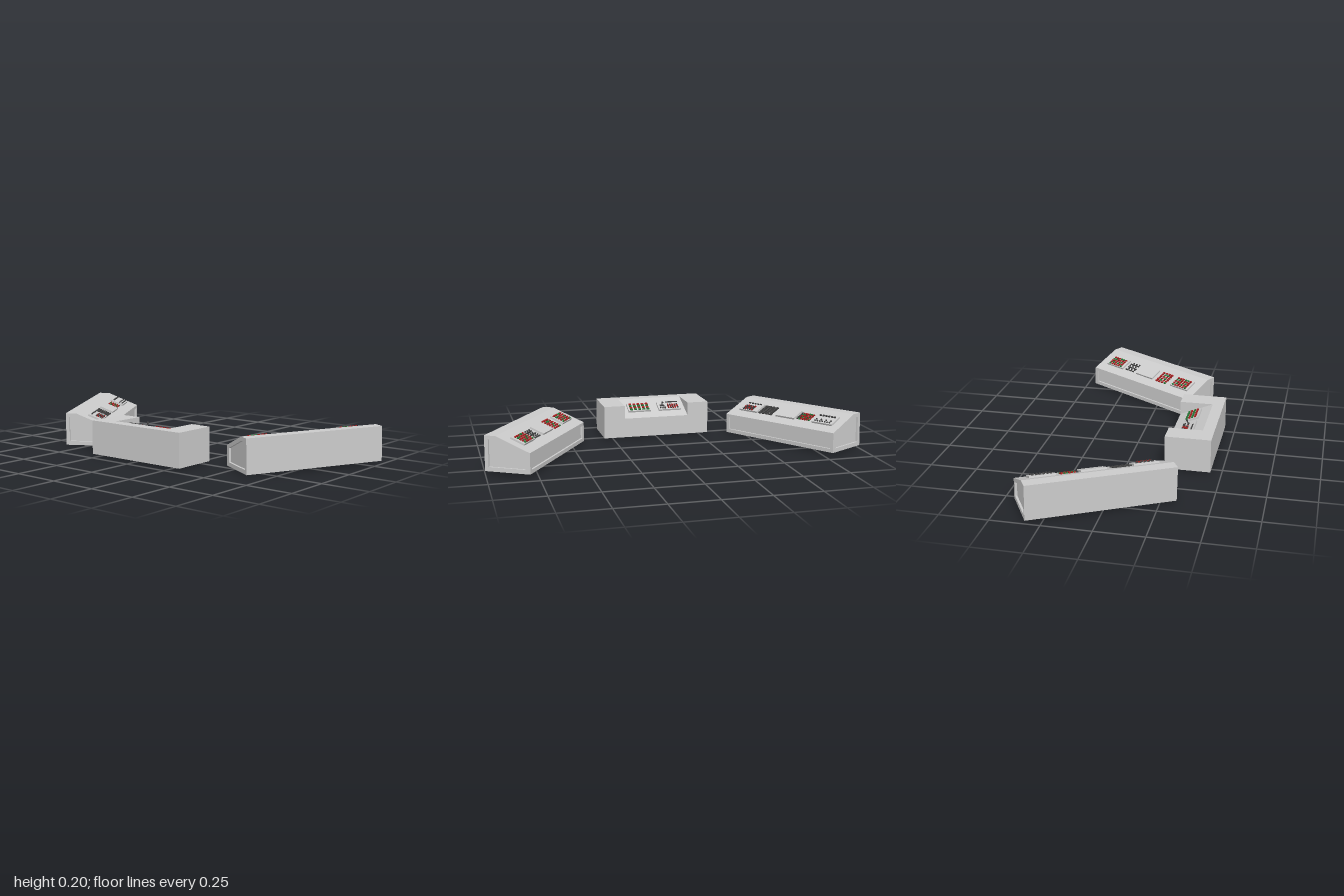
import * as THREE from 'three';

const grey = new THREE.MeshStandardMaterial({ color: 0xcccccc, flatShading: true });
const red = new THREE.MeshStandardMaterial({ color: 0xaa2222 });
const green = new THREE.MeshStandardMaterial({ color: 0x2a7a3a });
const dark = new THREE.MeshStandardMaterial({ color: 0x444444 });

// Shared console section: z is depth (+z is the tall side), y is height
const HALF = 0.12, TALL = 0.18, LOW = 0.107, CREASE = 0.06;
const SECTION = [[-HALF, 0], [HALF, 0], [HALF, TALL], [CREASE, TALL], [-HALF, LOW]];
const INSET = [[-0.096, 0.022], [0.1, 0.022], [0.1, 0.16], [0.064, 0.16], [-0.096, 0.095]];
const NOTCHED = [...SECTION, [-HALF, 0.09], [-0.109, 0.09], [-0.109, 0.02], [-HALF, 0.02]];
const BLOCK = [[-HALF, 0], [HALF, 0], [HALF, TALL], [-HALF, TALL]];

const toPoints = (list) => list.map(([a, b]) => new THREE.Vector2(a, b));

// Extrudes a section along x, centred on the given x
function prism(name, points, length, x, hole) {
  const shape = new THREE.Shape(toPoints(points));
  if (hole) shape.holes.push(new THREE.Path(toPoints(hole)));
  const geo = new THREE.ExtrudeGeometry(shape, { depth: length, bevelEnabled: false });
  geo.translate(0, 0, -length / 2);
  geo.rotateY(-Math.PI / 2);
  geo.translate(x, 0, 0);
  const mesh = new THREE.Mesh(geo, grey);
  mesh.name = name;
  return mesh;
}

function box(name, w, h, d, x, y, z, material) {
  const mesh = new THREE.Mesh(new THREE.BoxGeometry(w, h, d), material);
  mesh.position.set(x, y, z);
  mesh.name = name;
  return mesh;
}

// Group lying on the slope: x along the console, z up the slope, y out of it
function slopePanel() {
  const panel = new THREE.Group();
  panel.name = 'controlPanel';
  panel.position.set(0, (LOW + TALL) / 2, (CREASE - HALF) / 2);
  panel.rotation.x = -Math.atan2(TALL - LOW, CREASE + HALF);
  return panel;
}

const PLATE_TOP = 0.01;
function plate(x, width = 0.13) {
  return box('panelPlate', width, PLATE_TOP, 0.08, x, PLATE_TOP / 2, 0, grey);
}

// Grid of keys; pick(i, j) returns the material, or nothing for a gap
function keys(name, { x, z = 0, w, d, cols, rows, base = PLATE_TOP, fill = 0.6, pick }) {
  const group = new THREE.Group();
  group.name = name;
  const px = w / cols, pz = d / rows, h = 0.007;
  for (let i = 0; i < cols; i++) for (let j = 0; j < rows; j++) {
    const material = pick(i, j);
    if (!material) continue;
    group.add(box('key', px * fill, h, pz * fill,
      x + (i + 0.5) * px - w / 2, base + h / 2 - 0.0005, z + (j + 0.5) * pz - d / 2, material));
  }
  return group;
}

const mixed = (i, j) => ((i * 3 + j * 2) % 7 === 0 || (i + j * 3) % 8 === 5 ? green : red);
const striped = (i, j) => (j % 2 ? red : green);
const allDark = () => dark;
const sparse = (i, j) => ((i * 2 + j) % 4 === 3 ? null : dark);

// Long side console with recessed ends and a recessed low face
function sideConsole(name) {
  const L = 0.75, rim = 0.011, cap = 0.02;
  const group = new THREE.Group();
  group.name = name;
  group.add(prism('consoleBody', NOTCHED, L - 2 * cap, 0));
  for (const s of [-1, 1]) {
    group.add(prism('endPanel', SECTION, cap - rim, s * (L / 2 - rim - (cap - rim) / 2)));
    group.add(prism('endFrame', SECTION, rim, s * (L / 2 - rim / 2), INSET));
  }
  return group;
}

export function createModel() {
  const model = new THREE.Group();
  model.name = 'controlRoomConsoles';
  const tilt = 0.0227;

  // Console on +x
  const left = sideConsole('leftConsole');
  left.rotation.set(0, Math.PI / 3, tilt, 'YXZ');
  left.position.set(0.709, 0.0085, -0.059);
  const leftPanel = slopePanel();
  for (const x of [-0.257, 0.015, 0.257]) leftPanel.add(plate(x));
  leftPanel.add(
    keys('endKeys', { x: 0.257, z: -0.004, w: 0.105, d: 0.07, cols: 6, rows: 5, pick: mixed }),
    keys('smallKeys', { x: 0.139, w: 0.07, d: 0.075, cols: 6, rows: 6, base: 0, fill: 0.55, pick: sparse }),
    keys('middleKeys', { x: -0.117, w: 0.085, d: 0.09, cols: 4, rows: 6, base: 0, pick: mixed }),
    keys('nearKeys', { x: -0.257, z: -0.002, w: 0.11, d: 0.074, cols: 6, rows: 5, pick: mixed }));
  left.add(leftPanel);

  // Console on -x
  const right = sideConsole('rightConsole');
  right.rotation.set(0, -Math.PI / 3, -tilt, 'YXZ');
  right.position.set(-0.709, 0.0085, -0.059);
  const rightPanel = slopePanel();
  for (const x of [0.255, -0.01, -0.26]) rightPanel.add(plate(x));
  rightPanel.add(
    keys('endSwitches', { x: -0.26, z: -0.022, w: 0.11, d: 0.03, cols: 7, rows: 2, fill: 0.4, pick: sparse }),
    keys('endSlots', { x: -0.26, z: 0.024, w: 0.11, d: 0.012, cols: 6, rows: 1, pick: allDark }),
    keys('redKeys', { x: -0.127, w: 0.09, d: 0.065, cols: 7, rows: 5, base: 0, pick: (i, j) => (i === 6 ? dark : mixed(i, j)) }),
    keys('darkKeys', { x: 0.134, w: 0.1, d: 0.08, cols: 4, rows: 7, base: 0, fill: 0.7, pick: allDark }),
    keys('nearKeys', { x: 0.26, z: -0.016, w: 0.075, d: 0.045, cols: 5, rows: 4, pick: (i, j) => ((i + j) % 3 ? dark : red) }),
    keys('nearSlots', { x: 0.25, z: 0.028, w: 0.1, d: 0.008, cols: 5, rows: 1, pick: allDark }));
  right.add(rightPanel);

  // Centre console: two square blocks with the sloped desk between
  const centre = new THREE.Group();
  centre.name = 'centreConsole';
  centre.position.set(0, 0.007, 0.323);
  centre.add(prism('deskBody', SECTION, 0.364, 0));
  for (const s of [-1, 1]) centre.add(prism('sideBlock', BLOCK, 0.118, s * 0.241));
  const desk = slopePanel();
  desk.add(plate(-0.0925), plate(0.084),
    keys('deskKeys', { x: 0.084, z: -0.004, w: 0.12, d: 0.066, cols: 5, rows: 4, pick: striped }),
    keys('smallDeskKeys', { x: -0.113, z: -0.014, w: 0.065, d: 0.04, cols: 5, rows: 4, pick: (i, j) => ((i + j) % 3 ? red : dark) }),
    keys('deskSwitches', { x: -0.053, z: -0.026, w: 0.036, d: 0.016, cols: 4, rows: 2, fill: 0.45, pick: allDark }),
    box('deskSlot', 0.07, 0.006, 0.005, -0.115, PLATE_TOP + 0.002, 0.028, dark));

  // Control stick on the desk
  const stick = new THREE.Group();
  stick.name = 'controlStick';
  stick.position.set(-0.053, PLATE_TOP, -0.003);
  const shaft = new THREE.Mesh(new THREE.CylinderGeometry(0.003, 0.003, 0.022, 8), dark);
  shaft.position.y = 0.011;
  shaft.name = 'stickShaft';
  const knob = new THREE.Mesh(new THREE.SphereGeometry(0.006, 10, 8), dark);
  knob.position.y = 0.023;
  knob.name = 'stickKnob';
  stick.add(shaft, knob, box('stickBase', 0.026, 0.004, 0.009, 0, 0.002, 0, dark));
  desk.add(stick);
  centre.add(desk);

  model.add(left, right, centre);
  return model;
}
